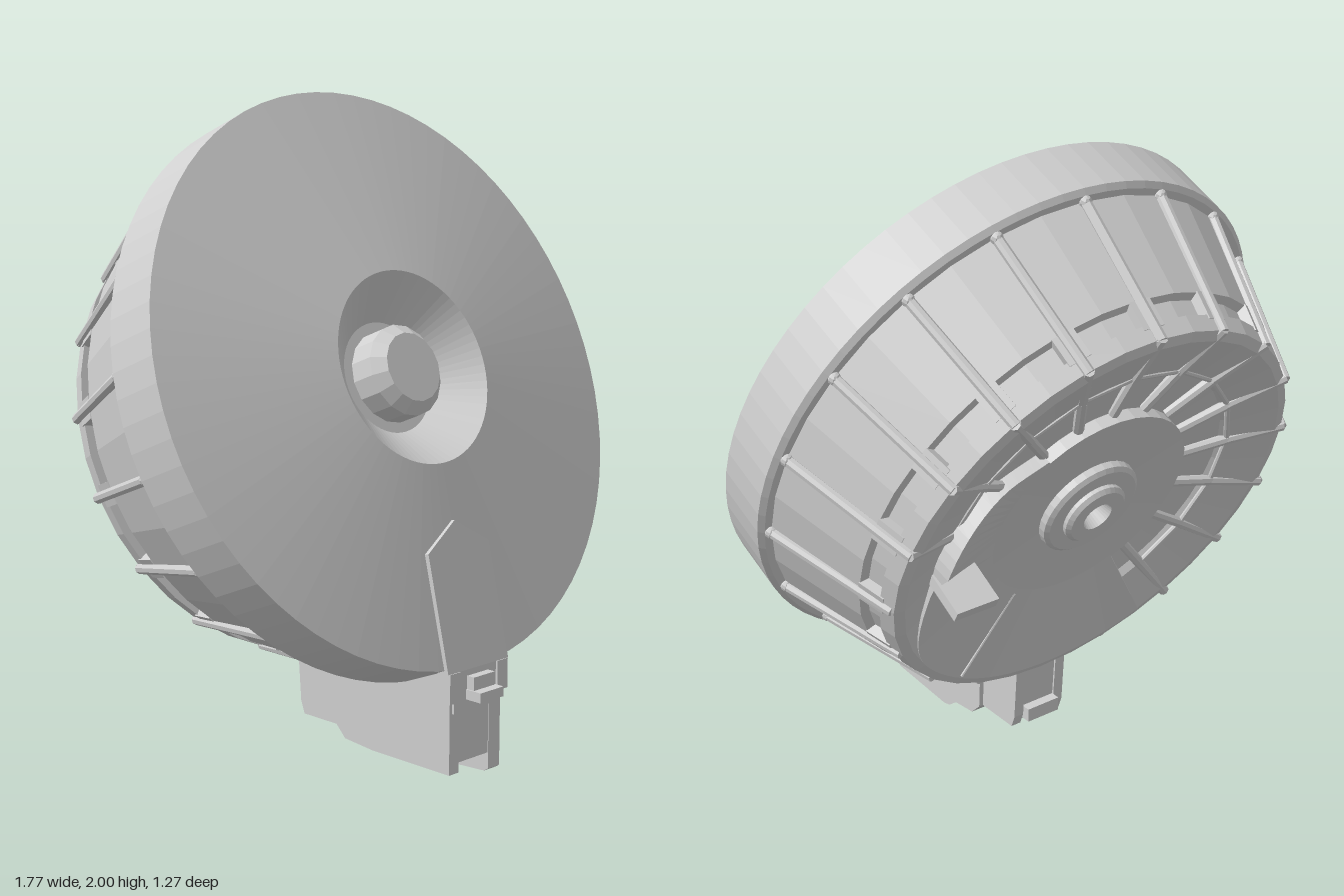
import * as THREE from 'three';

const gray = new THREE.MeshStandardMaterial({ color: 0xcfcfcf, side: THREE.DoubleSide });
gray.name = 'light gray';

// Faceted mesh with a name
function part(name, geometry, parent) {
  const g = geometry.index ? geometry.toNonIndexed() : geometry;
  g.computeVertexNormals();
  const mesh = new THREE.Mesh(g, gray);
  mesh.name = name;
  parent.add(mesh);
  return mesh;
}

// Lathe about the drum axis (local z); points are [radius, depth]
function turned(points, segments) {
  return new THREE.LatheGeometry(points.map(p => new THREE.Vector2(...p)), segments).rotateX(Math.PI / 2);
}

// Point on the drum: clock angle from the top toward +x
function polar(deg, r, n) {
  const a = THREE.MathUtils.degToRad(deg);
  return new THREE.Vector3(r * Math.sin(a), r * Math.cos(a), n);
}

function bar(name, a, b, radius, parent) {
  const d = b.clone().sub(a);
  const m = part(name, new THREE.CylinderGeometry(radius, radius, d.length() + radius * 0.6, 8), parent);
  m.position.copy(a).add(b).multiplyScalar(0.5);
  m.quaternion.setFromUnitVectors(new THREE.Vector3(0, 1, 0), d.normalize());
}

// Side profile [z, y] extruded from x1 to x2
function slab(name, points, x1, x2, parent) {
  const shape = new THREE.Shape(points.map(p => new THREE.Vector2(...p)));
  const g = new THREE.ExtrudeGeometry(shape, { depth: x2 - x1, bevelEnabled: false });
  return part(name, g.rotateY(-Math.PI / 2).translate(x2, 0, 0), parent);
}

function box(name, x1, x2, y1, y2, z1, z2, parent) {
  const g = new THREE.BoxGeometry(x2 - x1, y2 - y1, z2 - z1);
  return part(name, g.translate((x1 + x2) / 2, (y1 + y2) / 2, (z1 + z2) / 2), parent);
}

// Spiral cover on the back, widening from the disc edge and lifting toward the lever
function spiralCover() {
  const { smoothstep } = THREE.MathUtils;
  const pos = [], idx = [], steps = 48;
  for (let i = 0; i <= steps; i++) {
    const deg = 40 + 175 * i / steps;
    const t = smoothstep(deg, 35, 92);
    const u = smoothstep(deg, 92, 130);
    const lift = 0.045 * smoothstep(deg, 55, 90) * (1 - smoothstep(deg, 90, 100));
    const R = 0.355 + 0.2 * t + 0.115 * u;
    const edge = -0.592 - 0.028 * t - 0.02 * u - lift;
    const end = i === steps;
    for (const [r, n] of [[0.34, -0.592], [R, edge], [R + 0.015, -0.5]]) {
      pos.push(...polar(deg, r, end ? -0.5 : n).toArray());
    }
    if (i === 0) continue;
    const b = i * 3;
    for (let k = 0; k < 2; k++) {
      const p = b - 3 + k, q = b + k;
      idx.push(p, p + 1, q, q, p + 1, q + 1);
    }
  }
  const g = new THREE.BufferGeometry();
  g.setAttribute('position', new THREE.Float32BufferAttribute(pos, 3));
  g.setIndex(idx);
  return g;
}

export function createModel() {
  const model = new THREE.Group();
  model.name = 'ribbedDrum';

  // Tilted drum
  const drum = new THREE.Group();
  drum.name = 'drum';
  drum.position.set(0, 1.18, 0.235);
  drum.rotation.x = -0.388;
  model.add(drum);

  // Front cover with crater, and the tapered body behind it
  part('frontCover', turned([
    [0.82, -0.2], [0.87, -0.2], [0.886, -0.185], [0.886, 0], [0.295, 0.09], [0.17, -0.03], [0, -0.03],
  ], 72), drum);
  part('drumBody', turned([
    [0.17, -0.58], [0.35, -0.592], [0.35, -0.55], [0.5, -0.57], [0.52, -0.59], [0.67, -0.638], [0.702, -0.63],
    [0.719, -0.58], [0.69, -0.58], [0.714, -0.51], [0.743, -0.51], [0.848, -0.2],
  ], 36), drum);

  // Hub with a hole at the back
  part('backHub', turned([
    [0, -0.58], [0.035, -0.58], [0.05, -0.637], [0.095, -0.637], [0.107, -0.625],
    [0.107, -0.612], [0.155, -0.612], [0.168, -0.602], [0.172, -0.57],
  ], 32), drum);

  // Knob in the front crater
  part('frontKnob', turned([[0.14, -0.05], [0.14, 0.05], [0.105, 0.085], [0, 0.085]], 16), drum);

  part('spiralCover', spiralCover(), drum);
  bar('coverSeam', polar(148, 0.36, -0.592), polar(148, 0.66, -0.64), 0.006, drum);

  // Finger lever at the widening edge of the cover
  const lever = new THREE.Group();
  lever.name = 'lever';
  lever.position.set(0.49, -0.065, -0.66);
  lever.rotation.x = -0.12;
  drum.add(lever);
  box('leverTab', -0.07, 0.075, -0.018, 0.018, -0.085, 0.07, lever);

  // Ribs every twenty degrees, skipping the neck and the covered sector
  for (let deg = 0; deg < 360; deg += 20) {
    if (deg === 180) continue;
    const open = deg < 90 || deg > 215;
    const path = [[0.852, -0.205], [0.702, open ? -0.63 : -0.615]];
    if (open) path.push([0.52, -0.588], [0.36, -0.56]);
    const pts = path.map(p => polar(deg, ...p));
    for (let i = 1; i < pts.length; i++) bar('rib', pts[i - 1], pts[i], 0.017, drum);
    part('ribEnd', new THREE.SphereGeometry(0.02, 8, 6), drum).position.copy(pts[0]);

    // Solid pad that separates the slots beside each rib
    const pad = part('slotDivider', new THREE.BoxGeometry(0.07, 0.04, 0.09), drum);
    pad.position.copy(polar(deg, 0.711, -0.545));
    pad.rotation.set(-0.327, 0, -THREE.MathUtils.degToRad(deg), 'ZYX');

    // Inner ridge linking the rib bends
    if (open && deg !== 80) bar('innerRidge', polar(deg, 0.52, -0.588), polar(deg + 20, 0.52, -0.588), 0.009, drum);
  }

  // Neck below the drum: a core between two uneven side walls
  const neck = new THREE.Group();
  neck.name = 'neck';
  model.add(neck);
  slab('neckCore', [
    [0.568, 0.38], [0.568, 0.08], [0.25, 0.08], [0.12, 0.1], [-0.05, 0.1], [-0.065, 0.15], [-0.08, 0.34], [0.2, 0.4],
  ], -0.08, 0.08, neck);
  slab('rightWall', [
    [0.57, 0.36], [0.57, 0.05], [0.26, 0.05], [0.14, 0.06], [0.1, 0.1], [0.09, 0.27], [0.07, 0.33],
  ], -0.11, -0.07, neck);
  slab('leftWall', [
    [0.57, 0.36], [0.57, 0.03], [0.555, 0.02], [0.3, 0.004], [0.27, 0.01], [0.23, 0.04], [0.14, 0.05], [0.1, 0.09],
    [0.09, 0.27], [0.07, 0.33],
  ], 0.06, 0.11, neck);
  for (const s of [-1, 1]) {
    const [a, b] = s < 0 ? [-0.095, -0.06] : [0.06, 0.095];
    slab('rearWall', [[0.12, 0.34], [0.12, 0.09], [-0.055, 0.09], [-0.07, 0.13], [-0.085, 0.33]], a, b, neck);
    const [c, d] = s < 0 ? [-0.125, -0.08] : [0.08, 0.125];
    box('collarEar', c, d, 0.27, 0.36, 0.535, 0.585, neck);
  }
  box('rearLip', -0.06, 0.06, 0.115, 0.16, -0.098, -0.05, neck);
  box('collar', -0.1, 0.1, 0.235, 0.36, 0.53, 0.578, neck);

  // Stepped catch on the neck front
  box('catchTab', -0.05, 0.05, 0.27, 0.3, 0.56, 0.635, neck);
  box('catchStep', -0.045, 0.045, 0.3, 0.34, 0.56, 0.605, neck);

  // Pointed plate lying on the drum front
  const plate = new THREE.Shape([
    [-0.13, 0], [0.13, 0], [0.13, 0.352], [0, 0.432], [-0.13, 0.352],
  ].map(p => new THREE.Vector2(...p)));
  const front = part('frontPlate',
    new THREE.ExtrudeGeometry(plate, { depth: 0.04, bevelEnabled: false }).translate(0, 0, -0.04), model);
  front.position.set(0, 0.36, 0.582);
  front.rotation.x = -0.234;

  return model;
}
